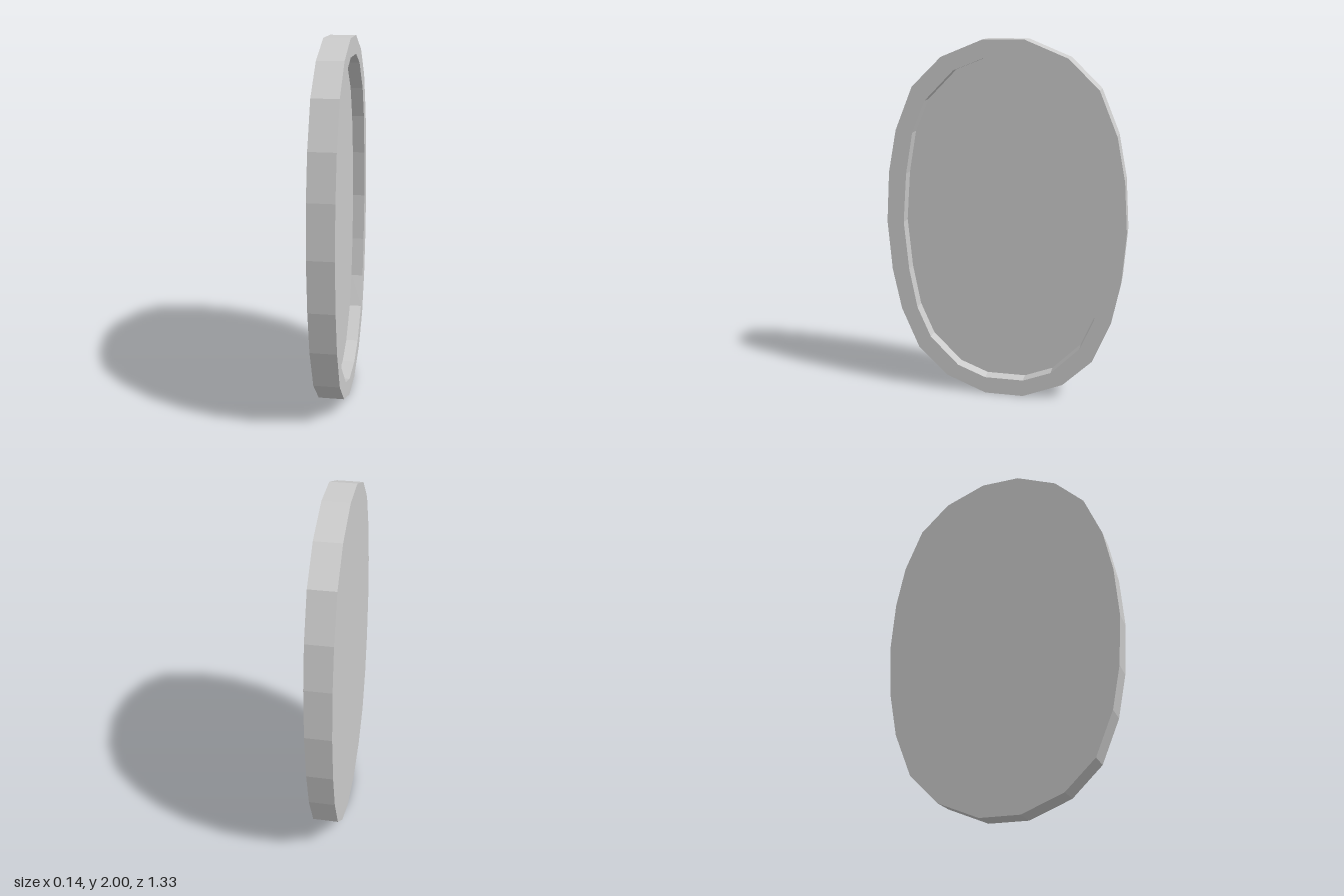
import * as THREE from 'three';

// Quarter outlines as [z, y from centre], from the top to the widest point
const OUTER = [[0.11, 1], [0.337, 0.908], [0.5, 0.75], [0.598, 0.515], [0.645, 0.28], [0.665, 0]];
const INNER = [[0.11, 0.903], [0.27, 0.84], [0.43, 0.678], [0.505, 0.503], [0.547, 0.275], [0.57, 0]];
const HALF = 0.07; // half thickness
const FLOOR = 0; // x of the recessed face

// Mirror a quarter outline into a closed loop of 22 points
function closeLoop(quarter) {
  const lower = quarter.slice(0, -1).reverse().map(([z, y]) => [z, -y]);
  const side = [...quarter, ...lower];
  return [...side, ...side.slice().reverse().map(([z, y]) => [-z, y])];
}

// Join successive loops with flat bands
function bandGeometry(rings) {
  const positions = [];
  for (let r = 0; r < rings.length - 1; r++) {
    const a = rings[r], b = rings[r + 1], n = a.length;
    for (let i = 0; i < n; i++) {
      const j = (i + 1) % n;
      const tris = [[a[i], a[j], b[j]], [a[i], b[j], b[i]]];
      for (const [p, q, s] of tris) {
        if (p.equals(q) || q.equals(s) || s.equals(p)) continue;
        for (const v of [p, q, s]) positions.push(v.x, v.y, v.z);
      }
    }
  }
  const geometry = new THREE.BufferGeometry();
  geometry.setAttribute('position', new THREE.Float32BufferAttribute(positions, 3));
  geometry.computeVertexNormals();
  return geometry;
}

export function createModel() {
  const group = new THREE.Group();
  group.name = 'ovalPlaque';
  const material = new THREE.MeshStandardMaterial({ color: 0xcccccc, flatShading: true });

  const outer = closeLoop(OUTER), inner = closeLoop(INNER);
  const ring = (loop, x, scale = 1) =>
    loop.map(([z, y]) => new THREE.Vector3(x, 1 + y * scale, z * scale));

  // Flat back, outer edge and raised rim
  const frame = new THREE.Mesh(bandGeometry([
    ring(outer, -HALF, 0), ring(outer, -HALF), ring(outer, HALF), ring(inner, HALF),
  ]), material);
  frame.name = 'frame';

  // Recess wall and sunken face
  const panel = new THREE.Mesh(bandGeometry([
    ring(inner, HALF), ring(inner, FLOOR), ring(inner, FLOOR, 0),
  ]), material);
  panel.name = 'recessedPanel';

  group.add(frame, panel);
  return group;
}
